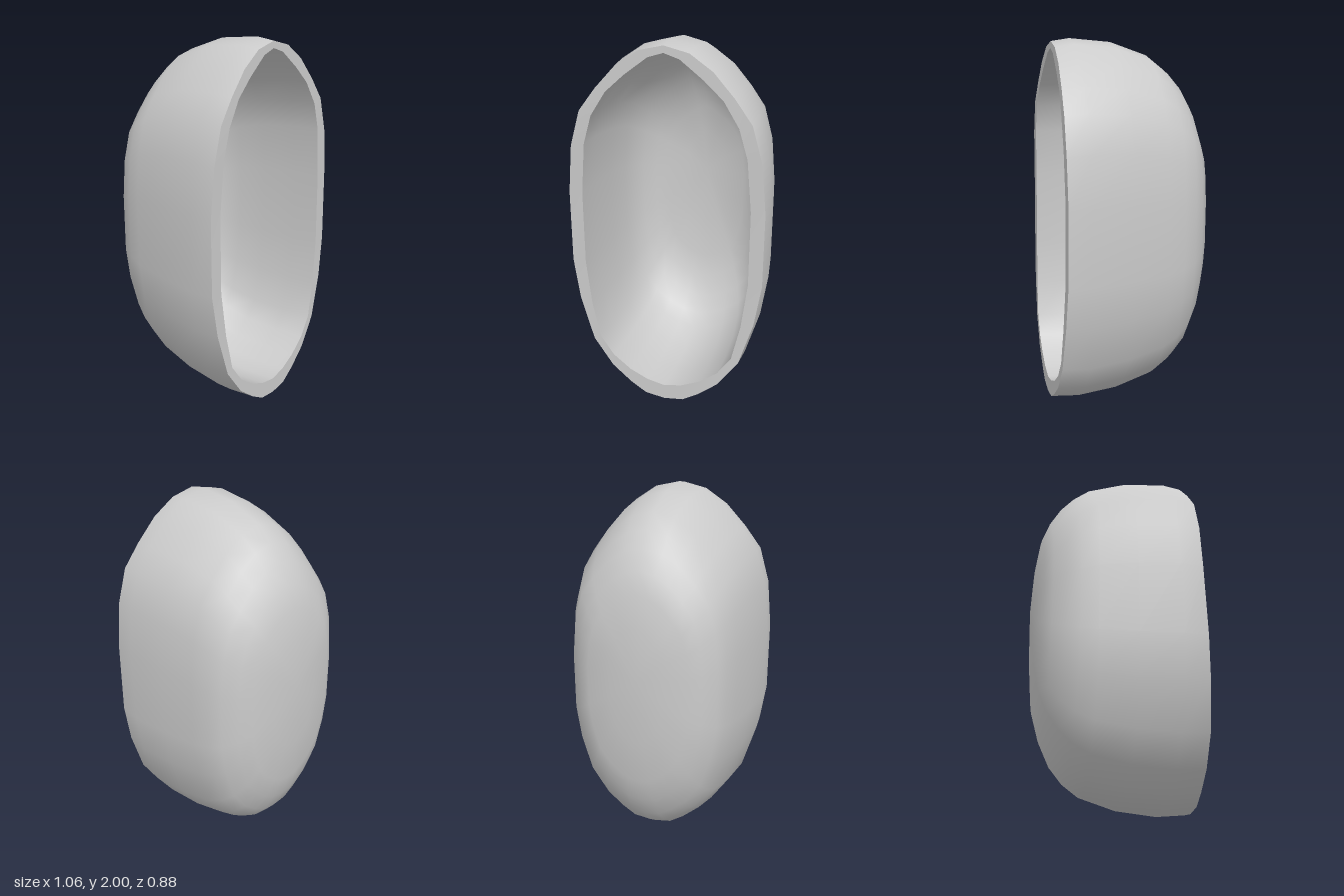
import * as THREE from 'three';
import { mergeVertices } from 'three/addons/utils/BufferGeometryUtils.js';

// Half outlines [x, y], from the top point down to the bottom point
const OUTER = [[0, 2], [0.13, 1.97], [0.25, 1.89], [0.36, 1.77], [0.45, 1.65], [0.505, 1.46], [0.53, 1.2],
  [0.53, 0.8], [0.495, 0.57], [0.42, 0.32], [0.31, 0.165], [0.2, 0.075], [0.11, 0.02], [0, 0.005]];
const INNER = [[0, 1.95], [0.08, 1.925], [0.2, 1.835], [0.3, 1.745], [0.38, 1.62], [0.425, 1.47], [0.45, 1.2],
  [0.45, 0.8], [0.42, 0.55], [0.375, 0.35], [0.3, 0.245], [0.2, 0.17], [0.1, 0.125], [0, 0.105]];

// Sections from front to back: [z, half width, bottom y, top y]; z = null follows the rim
const OUTER_SECTIONS = [
  [null, 0.523, 0.02, 1.985], [0.28, 0.53, 0.005, 2], [0.06, 0.497, 0.025, 1.98], [-0.14, 0.46, 0.085, 1.91],
  [-0.23, 0.43, 0.15, 1.84], [-0.3, 0.4, 0.235, 1.76], [-0.36, 0.335, 0.36, 1.66], [-0.4, 0.275, 0.5, 1.55],
  [-0.425, 0.145, 0.74, 1.38], [-0.443, 0, 1.1, 1.1]];
const INNER_SECTIONS = [
  [null, 0.45, 0.105, 1.95], [0.25, 0.45, 0.09, 1.95], [0.04, 0.44, 0.1, 1.92], [-0.12, 0.42, 0.15, 1.86],
  [-0.2, 0.395, 0.21, 1.79], [-0.27, 0.36, 0.29, 1.71], [-0.325, 0.3, 0.41, 1.61], [-0.362, 0.235, 0.54, 1.5],
  [-0.387, 0.12, 0.78, 1.34], [-0.402, 0, 1.1, 1.1]];

// The open edge leans forward at the bottom and back at the top
const rimZ = (y) => 0.4 + 0.038 * Math.max(0, 1 - y) - 0.06 * Math.max(0, y - 1.6);

// Closed ring: the outline refitted to a section and mirrored
function makeRing(half, [z, width, bottom, top]) {
  const maxX = Math.max(...half.map((p) => p[0]));
  const high = half[0][1], low = half[half.length - 1][1];
  const fit = (side) => ([x, y]) => {
    const ny = bottom + ((y - low) / (high - low)) * (top - bottom);
    return [side * (x / maxX) * width, ny, z === null ? rimZ(ny) : z];
  };
  return [...half.map(fit(1)), ...half.slice(1, -1).reverse().map(fit(-1))];
}

// Skin a list of rings, with smooth normals
function skin(name, rings) {
  const n = rings[0].length;
  const index = [];
  for (let i = 0; i < rings.length - 1; i++) {
    for (let j = 0; j < n; j++) {
      const a = i * n + j, b = i * n + ((j + 1) % n);
      index.push(a, b, a + n, b, b + n, a + n);
    }
  }
  let geometry = new THREE.BufferGeometry();
  geometry.setAttribute('position', new THREE.Float32BufferAttribute(rings.flat(2), 3));
  geometry.setIndex(index);
  geometry = mergeVertices(geometry);
  geometry.computeVertexNormals();
  const mesh = new THREE.Mesh(geometry, new THREE.MeshStandardMaterial({ color: 0xcccccc }));
  mesh.name = name;
  return mesh;
}

export function createModel() {
  const group = new THREE.Group();
  group.name = 'hollowShell';
  const outer = OUTER_SECTIONS.map((s) => makeRing(OUTER, s));
  const inner = INNER_SECTIONS.map((s) => makeRing(INNER, s));
  group.add(
    skin('outerShell', outer),
    skin('rim', [inner[0], outer[0]]),
    skin('innerShell', [...inner].reverse()), // reversed so it faces the hollow
  );
  return group;
}
